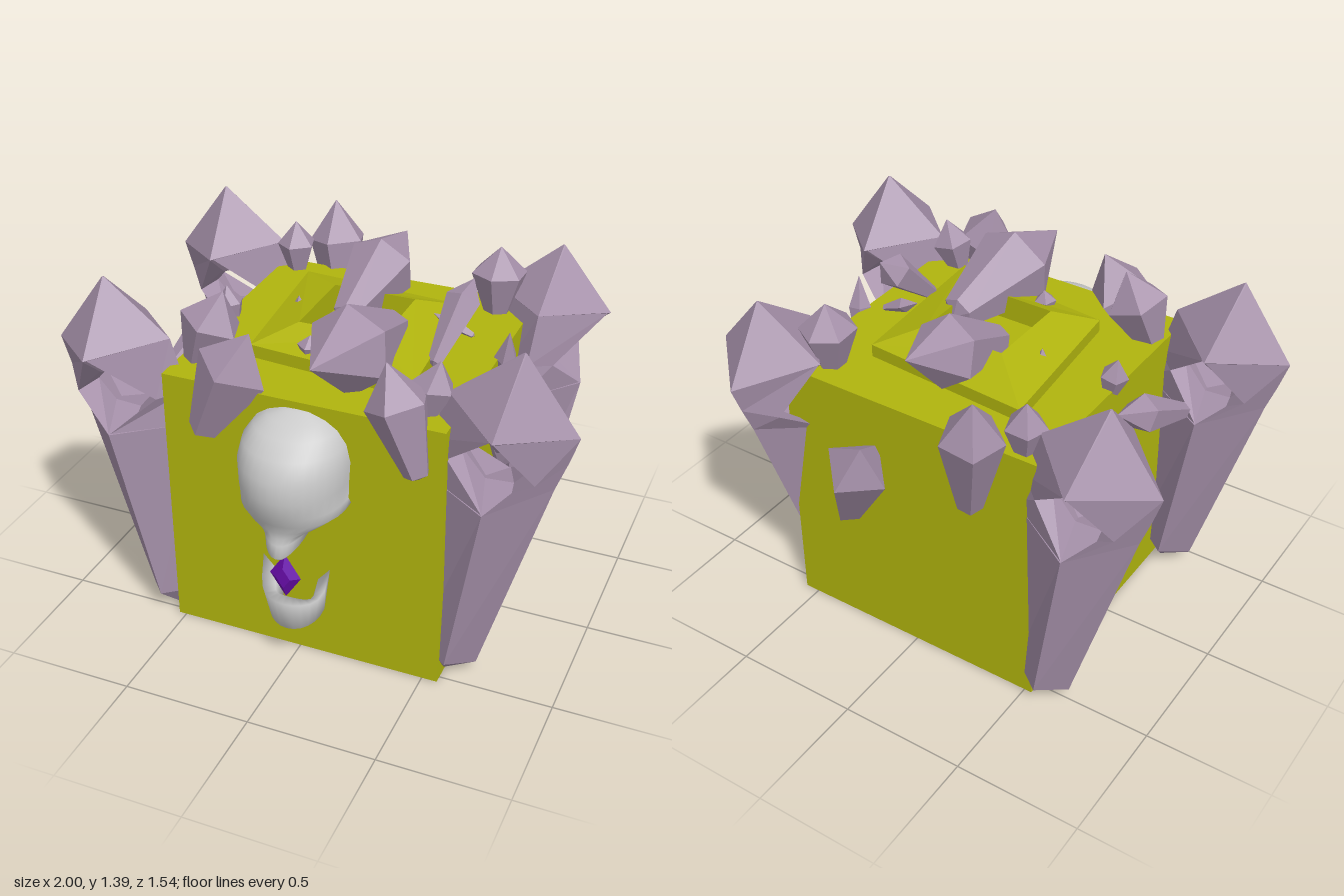
import * as THREE from 'three';

const stone = new THREE.MeshStandardMaterial({ color: 0xa48fa8, flatShading: true });
const olive = new THREE.MeshStandardMaterial({ color: 0xb0b40e, flatShading: true, side: THREE.DoubleSide });
const bone = new THREE.MeshStandardMaterial({ color: 0xcccccc, side: THREE.DoubleSide });
const purple = new THREE.MeshStandardMaterial({ color: 0x6a0dad, flatShading: true });

// Skin a stack of rings (anticlockwise seen from the last ring's end)
function loft(rings, closed = true, caps = true) {
  const n = rings[0].length, idx = [];
  for (let r = 0; r < rings.length - 1; r++) {
    for (let i = 0; i < (closed ? n : n - 1); i++) {
      const j = (i + 1) % n, a = r * n + i, b = r * n + j;
      idx.push(a, b, b + n, a, b + n, a + n);
    }
  }
  if (caps) {
    const top = (rings.length - 1) * n;
    for (let i = 1; i < n - 1; i++) idx.push(0, i + 1, i, top, top + i, top + i + 1);
  }
  const geo = new THREE.BufferGeometry();
  geo.setAttribute('position', new THREE.Float32BufferAttribute(rings.flat(2), 3));
  geo.setIndex(idx);
  geo.computeVertexNormals();
  return geo;
}

function add(parent, name, geo, mat) {
  const mesh = new THREE.Mesh(geo, mat);
  mesh.name = name;
  parent.add(mesh);
  return mesh;
}

// Tapered shard from a thin tail to a pointed head
function shard(parent, name, head, tail, r, sides, wide) {
  const a = new THREE.Vector3(...tail), b = new THREE.Vector3(...head);
  const len = a.distanceTo(b);
  const profile = [[0, 0], [r * 0.4, len * 0.04], [r, len * wide], [0, len]];
  const geo = new THREE.LatheGeometry(profile.map(p => new THREE.Vector2(...p)), sides);
  const mesh = add(parent, name, geo, stone);
  mesh.position.copy(a);
  mesh.quaternion.setFromUnitVectors(new THREE.Vector3(0, 1, 0), b.sub(a).normalize());
}

// Four-sided ring: outer, side, inner, side
const diamond = (out, yo, mid, ym, half, inn, yi) =>
  [[out, yo, 0], [mid, ym, -half], [inn, yi, 0], [mid, ym, half]];

// Corner crystal leaning outwards along its own +x, pierced below the head
function cornerCrystal(name, x, z, angle) {
  const leg = new THREE.Group();
  leg.name = name;
  add(leg, 'crystalHead', loft([
    diamond(0.1, 1.09, -0.01, 1.08, 0.13, -0.12, 1.08),
    diamond(0.24, 1.12, 0, 1.17, 0.23, -0.23, 1.2),
    diamond(0.035, 1.4, 0.03, 1.4, 0.005, 0.025, 1.4),
  ]), stone);
  add(leg, 'crystalShaft', loft([
    diamond(-0.18, 0.01, -0.2, 0.01, 0.02, -0.24, 0.02),
    diamond(-0.08, 0.06, -0.17, 0.1, 0.11, -0.31, 0.1),
    diamond(0.165, 0.9, -0.04, 0.84, 0.17, -0.335, 0.87),
  ]), stone);
  add(leg, 'outerStrut', loft([
    diamond(0.165, 0.9, -0.04, 0.84, 0.17, -0.05, 0.81),
    diamond(0.205, 1.01, 0.12, 0.96, 0.1, 0.09, 0.97),
    diamond(0.24, 1.12, 0, 1.17, 0.225, -0.02, 1.1),
  ]), stone);
  add(leg, 'innerStrut', loft([
    diamond(-0.02, 0.81, -0.04, 0.84, 0.165, -0.335, 0.87),
    diamond(-0.18, 1.0, -0.2, 0.98, 0.08, -0.29, 1.0),
    diamond(-0.02, 1.1, -0.01, 1.17, 0.22, -0.23, 1.2),
  ]), stone);
  leg.position.set(x, 0, z);
  leg.rotation.set(0, angle, 0, 'YXZ');
  return leg;
}

export function createModel() {
  const model = new THREE.Group();

  // Hollow block, open underneath
  const box = new THREE.BoxGeometry(1.09, 1.09, 1.08);
  const index = Array.from(box.index.array);
  index.splice(18, 6);
  box.setIndex(index);
  box.clearGroups();
  add(model, 'block', box, olive).position.set(0.015, 0.555, -0.01);

  // Raised bevelled frame with a square pit
  const plan = [[0.33, -0.32], [-0.35, -0.37], [-0.29, 0.29], [0.37, 0.35]];
  const pit = [[0.18, -0.18], [-0.15, -0.18], [-0.15, 0.16], [0.18, 0.16]];
  const level = (pts, y) => pts.map(([x, z]) => [x, y, z]);
  add(model, 'topFrame', loft([
    level(plan, 1.1), level(plan, 1.15), level(pit, 1.21), level(pit, 1.11),
  ]), olive);

  // Corner crystals; the back left one is shorter and tilts sideways
  const backLeft = cornerCrystal('backLeftCrystal', 0.54, -0.535, Math.PI / 2);
  backLeft.rotation.x = 0.08;
  backLeft.scale.y = 0.95;
  backLeft.position.y = 0.03;
  model.add(
    backLeft,
    cornerCrystal('frontLeftCrystal', 0.755, 0.42, 0),
    cornerCrystal('frontRightCrystal', -0.765, 0.445, Math.PI),
    cornerCrystal('backRightCrystal', -0.745, -0.5, Math.PI),
  );

  // Shards on the top edges
  const top = new THREE.Group();
  top.name = 'topShards';
  model.add(top);
  [
    [[0.09, 1.28, 0.6], [0.17, 1.17, -0.02], 0.17, 6, 0.58],
    [[0.01, 1.32, -0.54], [-0.05, 1.15, -0.02], 0.14, 6, 0.6],
    [[-0.19, 1.31, 0.49], [-0.37, 0.9, 0.56], 0.14, 4, 0.65],
    [[0.34, 1.33, 0.53], [0.48, 0.92, 0.57], 0.12, 5, 0.65],
    [[-0.37, 1.37, 0.33], [-0.48, 1.06, 0.37], 0.12, 5, 0.6],
    [[0.49, 1.3, 0.4], [0.44, 1.06, 0.42], 0.08, 5, 0.6],
    [[0.43, 1.36, -0.45], [0.43, 1.06, -0.43], 0.11, 6, 0.65],
    [[-0.35, 1.35, -0.66], [-0.28, 0.82, -0.58], 0.12, 5, 0.7],
    [[-0.46, 1.3, -0.5], [-0.45, 1.06, -0.49], 0.08, 5, 0.6],
    [[0.43, 1.37, -0.12], [0.37, 1.12, 0.14], 0.07, 5, 0.75],
    [[0.29, 1.22, -0.08], [0.45, 1.15, -0.09], 0.03, 4, 0.6],
    [[-0.53, 1.22, 0.0], [-0.5, 1.04, 0.0], 0.055, 5, 0.6],
    [[-0.06, 1.22, 0.26], [-0.07, 1.12, 0.26], 0.045, 5, 0.6],
    [[-0.25, 1.2, -0.06], [-0.25, 1.12, -0.06], 0.02, 4, 0.6],
  ].forEach(s => shard(top, 'topShard', ...s));

  // Shards growing from the walls
  const walls = new THREE.Group();
  walls.name = 'wallShards';
  model.add(walls);
  [
    [[0.72, 0.93, 0.2], [0.56, 0.69, -0.09], 0.1, 4, 0.7],
    [[0.61, 0.67, 0.07], [0.57, 0.55, 0.13], 0.05, 5, 0.6],
    [[0.61, 0.5, 0.22], [0.53, 0.35, 0.15], 0.07, 5, 0.55],
    [[0.6, 1.22, -0.04], [0.56, 0.92, -0.1], 0.045, 5, 0.6],
    [[0.12, 0.98, -0.68], [0.3, 0.52, -0.56], 0.13, 4, 0.72],
    [[-0.7, 1.02, -0.24], [-0.52, 0.8, -0.14], 0.11, 5, 0.65],
    [[-0.59, 1.06, -0.1], [-0.69, 0.9, 0.27], 0.075, 5, 0.65],
    [[-0.58, 0.62, 0.1], [-0.54, 0.48, 0.1], 0.05, 5, 0.6],
  ].forEach(s => shard(walls, 'wallShard', ...s));

  // Half skull against the front wall: height, half width, depth, lift towards the wall
  const skull = [
    [0.6, 0.05, 0, 0.05], [0.57, 0.06, 0.1, 0.09], [0.54, 0.065, 0.18, 0.13], [0.56, 0.09, 0.205, 0.12],
    [0.61, 0.1, 0.195, 0.09], [0.635, 0.125, 0.185, 0.07],
    [0.665, 0.175, 0.19, 0.05], [0.7, 0.207, 0.2, 0.03], [0.75, 0.198, 0.225, 0],
    [0.82, 0.2, 0.24, 0], [0.9, 0.205, 0.235, 0], [0.97, 0.19, 0.2, 0], [1.02, 0.155, 0.14, 0],
    [1.05, 0.11, 0.08, 0], [1.07, 0.05, 0.02, 0], [1.072, 0.005, 0, 0],
  ].map(([y, w, d, lift]) => Array.from({ length: 17 }, (_, i) => {
    const a = (i / 16 - 0.5) * Math.PI, c = Math.max(0, Math.cos(a));
    return [0.005 + w * Math.sin(a), y + lift * (1 - c), 0.53 + d * c ** 0.9];
  }));
  add(model, 'skull', loft(skull, false, false), bone);

  // Lower jaw: a thick band round the chin, rising to a point at each end
  const jaw = Array.from({ length: 13 }, (_, i) => {
    const t = i / 6 - 1, a = t * 1.5, rise = t ** 6;
    const at = (r, y) => [0.01 + r * Math.sin(a), y, 0.56 + r * Math.cos(a)];
    const crown = 0.33 + 0.11 * rise, chin = 0.2 + 0.05 * t * t;
    return [at(0.135, crown), at(0.11, chin), at(0.06, chin + 0.02), at(0.085, crown - 0.06 * t * t)];
  });
  add(model, 'jaw', loft(jaw), bone);

  // Thin bevelled gem between skull and jaw
  const gem = [[0.635, 0.45], [0.657, 1], [0.68, 0.45]].map(([z, s]) =>
    [[0.062, 0], [0, 0.095], [-0.062, 0], [0, -0.095]].map(([x, y]) => [0.005 + x * s, 0.435 + y * s, z]));
  add(model, 'gem', loft(gem), purple);

  return model;
}
